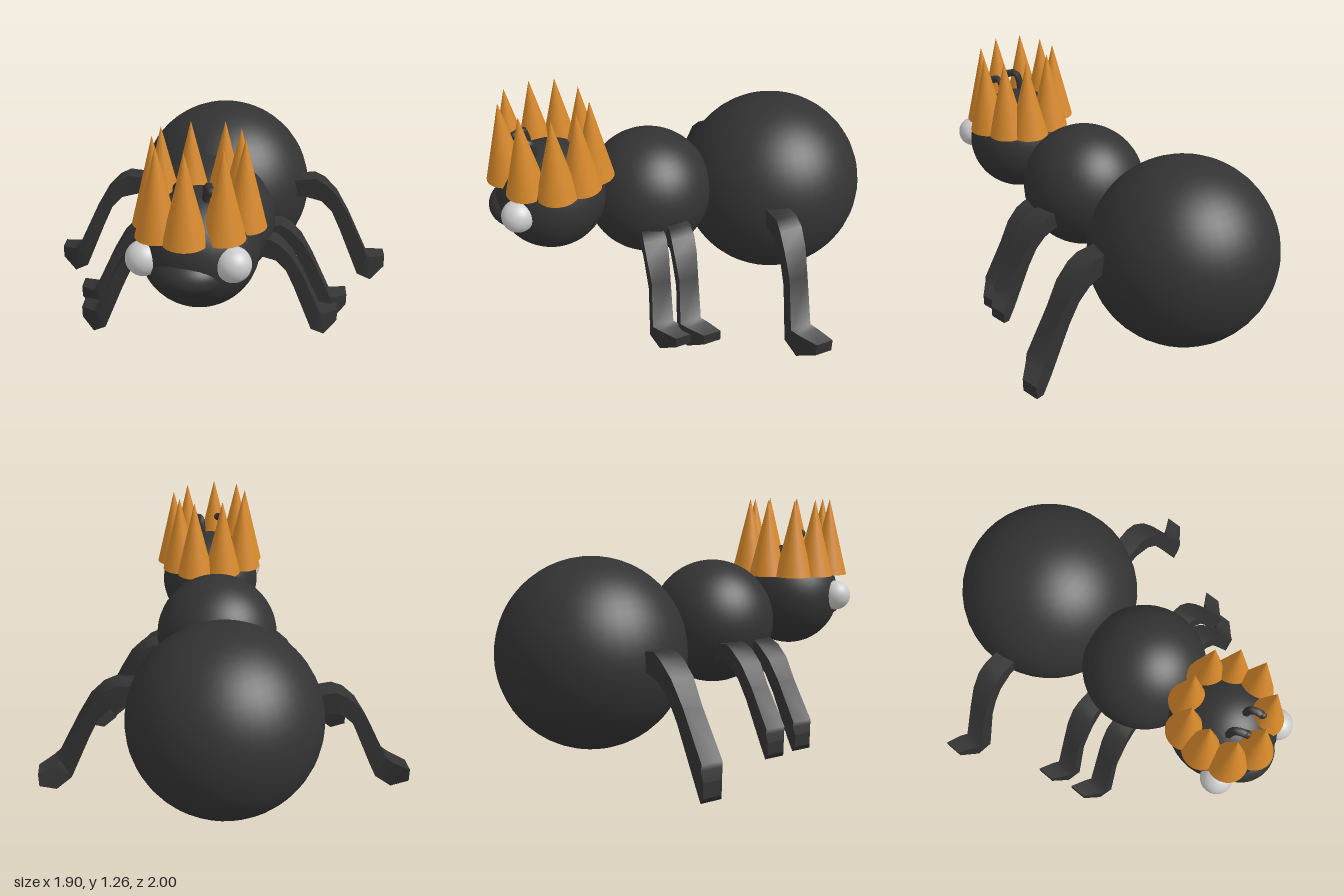
import * as THREE from 'three';
import { toCreasedNormals } from 'three/addons/utils/BufferGeometryUtils.js';

const dark = new THREE.MeshStandardMaterial({ color: 0x333333 });
const gold = new THREE.MeshStandardMaterial({ color: 0xd98a2b });
const grey = new THREE.MeshStandardMaterial({ color: 0xcccccc });

function add(group, name, geometry, material, x = 0, y = 0, z = 0) {
  const mesh = new THREE.Mesh(geometry, material);
  mesh.name = name;
  mesh.position.set(x, y, z);
  group.add(mesh);
  return mesh;
}

const ball = (r) => new THREE.SphereGeometry(r, 40, 28);

// Leg sections from hip to toe, relative to the toe:
// upper x, upper y, lower x, lower y, z centre, half width
const LEG = [
  [-0.59, 0.50, -0.59, 0.40, 0.02, 0.055],
  [-0.42, 0.52, -0.47, 0.41, 0.02, 0.055],
  [-0.36, 0.49, -0.38, 0.39, 0.025, 0.06],
  [-0.29, 0.42, -0.32, 0.33, 0.035, 0.058],
  [-0.22, 0.30, -0.27, 0.22, 0.045, 0.05],
  [-0.11, 0.07, -0.16, -0.04, 0.075, 0.055],
  [-0.08, 0.055, -0.08, -0.09, 0.05, 0.055],
  [0.00, 0.035, 0.00, -0.035, 0.00, 0.045],
];

// Loft of four-cornered sections; side is +1 or -1
function legGeometry(side, scale) {
  const pos = [], index = [];
  const tri = (a, b, c) => index.push(...(side > 0 ? [a, b, c] : [a, c, b]));
  LEG.forEach(([ux, uy, lx, ly, z, w], i) => {
    for (const [x, y, dz] of [[ux, uy, w], [ux, uy, -w], [lx, ly, -w], [lx, ly, w]]) {
      pos.push(side * x * scale, y * scale, z + dz);
    }
    if (i === LEG.length - 1) return;
    for (let j = 0; j < 4; j++) {
      const k = (j + 1) % 4, a = i * 4, b = a + 4;
      tri(a + j, b + j, a + k);
      tri(b + j, b + k, a + k);
    }
  });
  const end = (LEG.length - 1) * 4;
  tri(end, end + 3, end + 2);
  tri(end, end + 2, end + 1);
  tri(0, 1, 2);
  tri(0, 2, 3);
  const geometry = new THREE.BufferGeometry();
  geometry.setAttribute('position', new THREE.Float32BufferAttribute(pos, 3));
  geometry.setIndex(index);
  return toCreasedNormals(geometry, 0.7);
}

export function createModel() {
  const model = new THREE.Group();
  model.name = 'crownedAnt';

  // Body
  add(model, 'abdomen', ball(0.482), dark, 0.02, 0.523, -0.52);
  add(model, 'thorax', ball(0.327), dark, -0.02, 0.628, 0.18);

  // Head with a flattened snout, turned slightly to its right
  add(model, 'head', ball(0.275), dark, -0.035, 0.74, 0.69);
  const snout = add(model, 'snout', ball(1), dark, -0.07, 0.70, 0.84);
  snout.scale.set(0.17, 0.105, 0.16);
  snout.rotation.y = -0.2;

  // Eyes
  add(model, 'leftEye', ball(0.08), grey, 0.127, 0.767, 0.90);
  add(model, 'rightEye', ball(0.08), grey, -0.272, 0.748, 0.83);

  // Antennae: short stalks hooked forward at the tip
  for (const [name, x, lean] of [['leftAntenna', 0.005, 0.02], ['rightAntenna', -0.125, 0.03]]) {
    const path = new THREE.CatmullRomCurve3([
      new THREE.Vector3(0, 0, 0), new THREE.Vector3(0, 0.1, 0.005),
      new THREE.Vector3(lean * 0.3, 0.15, 0.025), new THREE.Vector3(lean, 0.14, 0.07),
    ]);
    add(model, name, new THREE.TubeGeometry(path, 10, 0.02, 6), dark, x, 0.93, 0.76);
    add(model, name + 'Tip', new THREE.SphereGeometry(0.022, 8, 6), dark, x + lean, 1.07, 0.83);
  }

  // Crown: a ring of nine upright spikes
  const crown = new THREE.Group();
  crown.name = 'crown';
  model.add(crown);
  const spikes = [
    [-0.08, 0.89], [0.08, 0.835], [0.168, 0.71], [0.145, 0.585], [0.07, 0.495],
    [-0.085, 0.50], [-0.21, 0.58], [-0.235, 0.70], [-0.205, 0.83],
  ];
  for (const [x, z] of spikes) {
    add(crown, 'crownSpike', new THREE.ConeGeometry(0.1, 0.41, 24), gold, x, 1.065, z);
  }

  // Legs, placed by their toes
  const legs = [
    ['rearLeftLeg', 1, 1, 0.95, 0.145, -0.355],
    ['rearRightLeg', -1, 1, -0.95, 0.095, -0.45],
    ['middleLeftLeg', 1, 0.85, 0.695, 0.175, 0.135],
    ['middleRightLeg', -1, 0.85, -0.73, 0.13, 0.06],
    ['frontLeftLeg', 1, 0.85, 0.64, 0.155, 0.26],
    ['frontRightLeg', -1, 0.85, -0.69, 0.125, 0.26],
  ];
  for (const [name, side, scale, x, y, z] of legs) {
    add(model, name, legGeometry(side, scale), dark, x, y, z);
  }
  return model;
}
